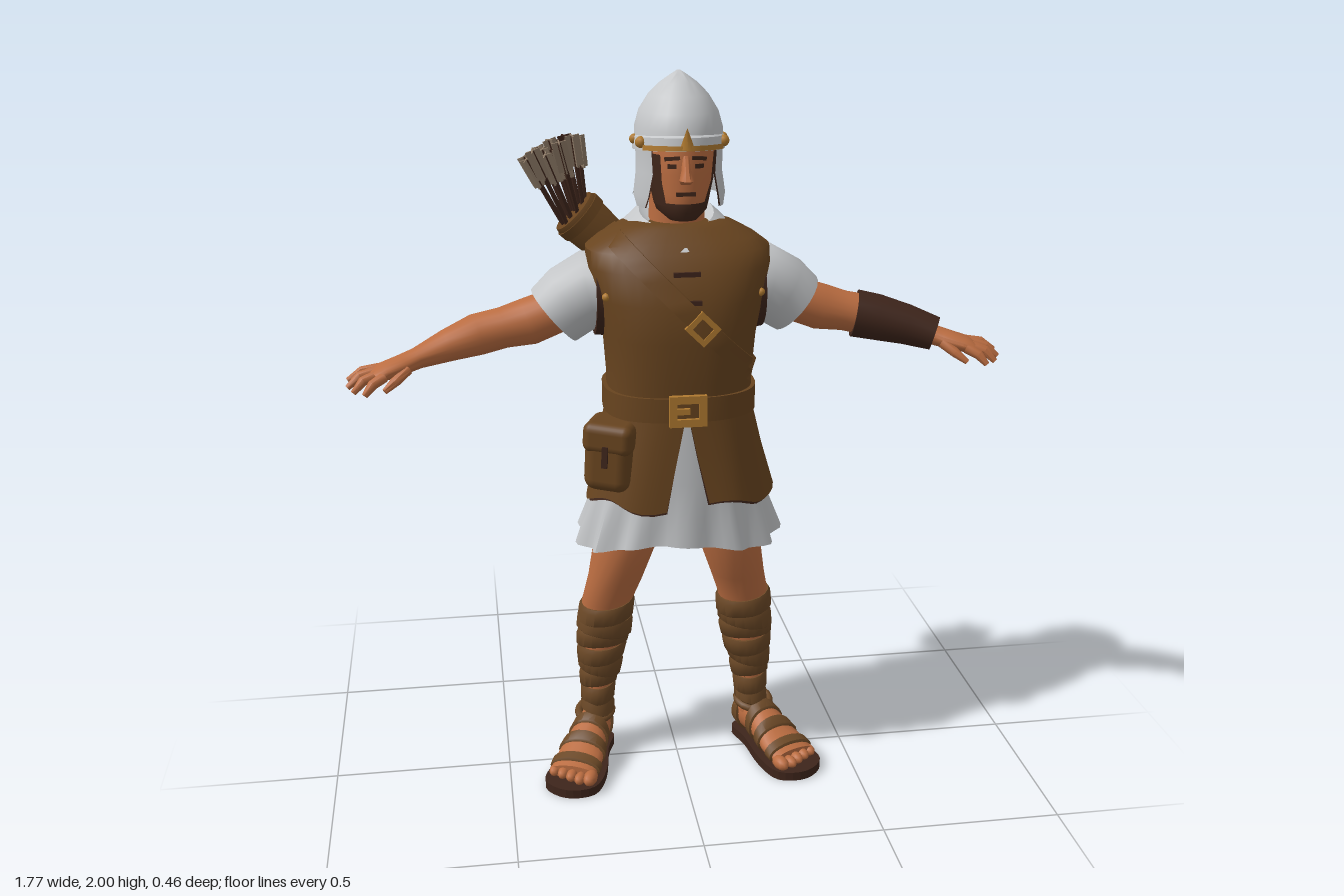
import * as THREE from 'three';
import { toCreasedNormals } from 'three/addons/utils/BufferGeometryUtils.js';
import { RoundedBoxGeometry } from 'three/addons/geometries/RoundedBoxGeometry.js';

const mat = (name, color) => Object.assign(new THREE.MeshStandardMaterial({ color, side: THREE.DoubleSide }), { name });
const skin = mat('skin', 0xbb6d41), leather = mat('leather', 0x68441f), wrap = mat('leg wraps', 0x6b4826);
const dark = mat('dark leather', 0x3e251b), cloth = mat('white cloth', 0xc3c5c7), steel = mat('steel', 0xc6c8ca);
const gold = mat('brass', 0xb07a30), feather = mat('feather', 0x8f7c68), hair = mat('hair', 0x40261a);
const Y = new THREE.Vector3(0, 1, 0), Z = new THREE.Vector3(0, 0, 1), PI = Math.PI;
const vec = a => new THREE.Vector3(...a);

function add(parent, geo, material, name, pos = [0, 0, 0], rot = [0, 0, 0]) {
  const m = new THREE.Mesh(geo, material);
  m.name = name; m.position.set(...pos); m.rotation.set(...rot);
  parent.add(m);
  return m;
}

// Skin through elliptical cross-sections [x, y, z, radiusU, radiusV]
function loft(sec, { n = 20, ref = Z, dir, p = 1, wave, lift, arc, crease = 0.8 } = {}) {
  const pos = [], idx = [], cols = arc ? n + 1 : n, c = sec.map(s => new THREE.Vector3(s[0], s[1], s[2]));
  const pw = v => Math.sign(v) * Math.abs(v) ** p;
  sec.forEach((s, i) => {
    const T = dir ? dir.clone() : c[Math.min(i + 1, c.length - 1)].clone().sub(c[Math.max(i - 1, 0)]).normalize();
    const V = ref.clone().addScaledVector(T, -T.dot(ref)).normalize(), U = T.clone().cross(V);
    const [a0, a1] = arc ? arc(i) : [0, 2 * PI];
    for (let j = 0; j < cols; j++) {
      const a = a0 + (a1 - a0) * j / n, w = wave ? wave(a, i) : 1;
      const q = c[i].clone().addScaledVector(U, s[3] * w * pw(Math.cos(a))).addScaledVector(V, s[4] * w * pw(Math.sin(a)));
      pos.push(q.x, q.y + (lift ? lift(a, i) : 0), q.z);
    }
  });
  for (let i = 0; i < sec.length - 1; i++) for (let j = 0; j < n; j++) {
    const k = (j + 1) % cols, a = i * cols + j, b = i * cols + k;
    idx.push(a, a + cols, b, b, a + cols, b + cols);
  }
  // End caps on closed lofts
  if (!arc) for (const [i, flip] of [[0, 0], [sec.length - 1, 1]]) {
    const o = pos.length / 3;
    pos.push(c[i].x, c[i].y, c[i].z);
    for (let j = 0; j < n; j++) {
      const a = i * n + j, b = i * n + (j + 1) % n;
      idx.push(o, flip ? b : a, flip ? a : b);
    }
  }
  const g = new THREE.BufferGeometry();
  g.setAttribute('position', new THREE.Float32BufferAttribute(pos, 3));
  g.setIndex(idx);
  return toCreasedNormals(g, crease);
}
// Upright loft from rows [y, centreX, centreZ, radiusX, radiusZ]
const upright = (rows, o = {}) => loft(rows.map(([y, x, z, rx, rz]) => [x, y, z, rx, rz]), { dir: Y, ...o });
const rowAt = (rows, y) => {
  let i = 0;
  while (i < rows.length - 2 && y > rows[i + 1][0]) i++;
  const t = THREE.MathUtils.clamp((y - rows[i][0]) / (rows[i + 1][0] - rows[i][0]), 0, 1);
  return rows[i].map((v, k) => v + (rows[i + 1][k] - v) * t);
};
const ball = (r, n = 10) => new THREE.SphereGeometry(r, n, n);

function frame(w, h, t, depth) {
  const rect = (S, a, b) => new S([[-a, -b], [a, -b], [a, b], [-a, b]].map(q => new THREE.Vector2(...q)));
  const s = rect(THREE.Shape, w / 2, h / 2);
  s.holes.push(rect(THREE.Path, w / 2 - t, h / 2 - t));
  return new THREE.ExtrudeGeometry(s, { depth, bevelEnabled: false });
}

const chest = [[1.1, 0, 0.025, 0.198, 0.165], [1.2, 0, 0.027, 0.196, 0.168], [1.32, 0, 0.032, 0.205, 0.178], [1.42, 0, 0.03, 0.225, 0.175],
  [1.5, 0, 0.015, 0.246, 0.163], [1.545, 0, 0.003, 0.246, 0.147], [1.57, 0, -0.005, 0.212, 0.132], [1.6, 0, -0.012, 0.155, 0.11], [1.612, 0, -0.012, 0.115, 0.092]];
const P = 0.78;
// Distance of the chest surface in z at (x, y)
const surface = (x, y, s) => {
  const [, , cz, rx, rz] = rowAt(chest, y);
  return cz + s * rz * Math.max(0, 1 - Math.min(1, Math.abs(x / rx)) ** (2 / P)) ** (P / 2);
};

function buildTorso(g) {
  add(g, upright(chest, { n: 40, p: P }), leather, 'jerkin');
  // Lower jerkin, split at the front, with a dark lining
  const gap = [0.15, 0.07, 0.005];
  for (const [d, m, name] of [[0, leather, 'jerkinSkirt'], [-0.008, dark, 'jerkinLining']])
    add(g, upright([[0.865, 0, 0.022, 0.258 + d, 0.19 + d], [1.0, 0, 0.022, 0.225 + d, 0.178 + d], [1.12, 0, 0.025, 0.198 + d, 0.166 + d]], {
      n: 48, p: P, arc: i => [PI / 2 + gap[i], PI * 2.5 - gap[i]],
      wave: (a, i) => 1 + [0.025, 0.012, 0][i] * Math.sin(7 * a), lift: (a, i) => i ? 0 : 0.015 * Math.cos(5 * a) + d }), m, name);
  add(g, upright([[0.728, 0, 0.02, 0.28, 0.172], [0.82, 0, 0.02, 0.25, 0.165], [0.92, 0, 0.022, 0.222, 0.163], [1.1, 0, 0.025, 0.185, 0.152]], {
    n: 72, p: 0.9, arc: () => [0, 2 * PI], wave: (a, i) => 1 + [0.055, 0.04, 0.01, 0][i] * Math.sin(13 * a),
    lift: (a, i) => i ? 0 : 0.018 * Math.cos(3 * a + 1) }), cloth, 'tunicSkirt');
  add(g, upright([[0.79, 0, 0, 0.17, 0.1], [0.95, 0, 0.01, 0.19, 0.13]]), dark, 'breeches');
  // Collar, dipping at the front
  add(g, upright([[1.575, 0, 0.0, 0.155, 0.142], [1.605, 0, -0.008, 0.125, 0.118], [1.625, 0, -0.01, 0.1, 0.1], [1.612, 0, -0.01, 0.078, 0.083]], {
    n: 32, wave: (a, i) => 1 + (i ? 0 : 0.04 * Math.sin(9 * a)), lift: a => 0.008 - 0.032 * Math.sin(a) }), cloth, 'collar');
  // Belt and buckle
  add(g, upright([[1.105, 0, 0.025, 0.19, 0.16], [1.105, 0, 0.025, 0.208, 0.175], [1.172, 0, 0.025, 0.208, 0.175], [1.172, 0, 0.025, 0.19, 0.16]],
    { n: 40, p: P }), leather, 'belt');
  add(g, frame(0.1, 0.085, 0.021, 0.015), gold, 'beltBuckle', [0, 1.138, 0.195]);
  add(g, new THREE.BoxGeometry(0.04, 0.016, 0.01), gold, 'buckleTongue', [-0.015, 1.138, 0.205]);
  // Diagonal strap, bent to the chest front and back
  for (const s of [1, -1]) {
    const strap = new THREE.BoxGeometry(0.52, 0.05, 0.022, 28, 2, 1);
    strap.rotateZ(-0.78).translate(0.01, 1.395, 0);
    const q = strap.attributes.position;
    for (let i = 0; i < q.count; i++) q.setZ(i, q.getZ(i) + surface(q.getX(i), q.getY(i), s) + s * 0.006);
    add(g, toCreasedNormals(strap, 0.6), leather, s > 0 ? 'strapFront' : 'strapBack');
  }
  add(g, frame(0.07, 0.065, 0.014, 0.012), gold, 'strapBuckle', [0.035, 1.365, 0.216], [0, 0.03, -0.78]);
  for (const y of [1.5, 1.43]) add(g, new THREE.BoxGeometry(0.07, 0.012, 0.009), dark, 'toggle', [0, y, surface(0, y, 1) + 0.003]);
  for (const s of [-1, 1]) add(g, ball(0.011), gold, 'shoulderStud', [s * 0.205, 1.435, surface(0.205, 1.435, 1)]);
  // Pouch
  const pouch = new THREE.Group();
  pouch.name = 'pouch'; pouch.position.set(-0.197, 1.005, 0.13); pouch.rotation.set(0, -0.4, -0.06);
  add(pouch, new RoundedBoxGeometry(0.13, 0.17, 0.12, 3, 0.035), leather, 'pouchBag', [0, -0.012, 0]);
  add(pouch, new RoundedBoxGeometry(0.138, 0.085, 0.13, 3, 0.025), leather, 'pouchFlap', [0, 0.055, 0]);
  add(pouch, new THREE.BoxGeometry(0.016, 0.06, 0.009), dark, 'pouchTie', [0, 0.01, 0.064]);
  g.add(pouch);
}

function buildHead(g) {
  add(g, upright([[1.5, 0, -0.01, 0.085, 0.085], [1.6, 0, -0.01, 0.076, 0.08], [1.72, 0, 0.01, 0.072, 0.08]]), skin, 'neck');
  const skull = [[1.632, 0, 0.105, 0.034, 0.04], [1.655, 0, 0.075, 0.06, 0.082], [1.7, 0, 0.05, 0.078, 0.108],
    [1.75, 0, 0.04, 0.087, 0.12], [1.8, 0, 0.035, 0.09, 0.125], [1.87, 0, 0.03, 0.085, 0.115]];
  add(g, upright(skull, { n: 24 }), skin, 'head');
  const grow = (y, d) => { const r = rowAt(skull, y); return [y, r[1], r[2], r[3] + d, r[4] + d]; };
  // Beard, sideburns, brows, eyes and mouth
  add(g, upright([grow(1.632, 0.003), grow(1.655, 0.006), grow(1.678, 0.004)], { n: 18, arc: () => [0.05, PI - 0.05] }), hair, 'beard');
  for (const s of [-1, 1]) {
    const mid = s > 0 ? 0.42 : PI - 0.42;
    add(g, upright([grow(1.67, 0.005), grow(1.73, 0.004), grow(1.8, 0.003)], { n: 6, arc: i => [mid - 0.42, mid + [0.4, 0.18, 0.1][i]] }), hair, 'sideburn');
    add(g, new THREE.BoxGeometry(0.04, 0.009, 0.009), hair, 'brow', [s * 0.034, 1.793, 0.151], [0, s * 0.3, -s * 0.1]);
    add(g, new THREE.BoxGeometry(0.024, 0.011, 0.008), hair, 'eye', [s * 0.034, 1.773, 0.149], [0, s * 0.3, 0]);
    add(g, ball(0.02), skin, 'ear', [s * 0.09, 1.755, 0.02]).scale.set(0.5, 1.4, 0.8);
  }
  add(g, new THREE.BoxGeometry(0.05, 0.01, 0.009), hair, 'moustache', [0, 1.703, 0.157]);
  add(g, upright([[1.728, 0, 0.155, 0.014, 0.012], [1.74, 0, 0.17, 0.019, 0.028], [1.765, 0, 0.16, 0.012, 0.022], [1.8, 0, 0.148, 0.01, 0.014]], { n: 10 }), skin, 'nose');
  // Helmet dome, brow band, neck guard and cheek guards
  const tip = a => 0.012 * Math.sin(a);
  add(g, upright([[1.815, 0, 0.025, 0.116, 0.146], [1.86, 0, 0.025, 0.114, 0.143], [1.9, 0, 0.025, 0.103, 0.127], [1.94, 0, 0.026, 0.078, 0.094],
    [1.97, 0, 0.028, 0.048, 0.055], [1.99, 0, 0.03, 0.02, 0.022], [2.0, 0, 0.03, 0.004, 0.004]], { n: 28 }), steel, 'helmetDome');
  add(g, upright([[1.802, 0, 0.025, 0.112, 0.143], [1.802, 0, 0.025, 0.12, 0.155], [1.835, 0, 0.025, 0.118, 0.152], [1.842, 0, 0.025, 0.11, 0.14]],
    { n: 28, lift: tip }), steel, 'helmetBand');
  add(g, upright([[1.803, 0, 0.025, 0.1225, 0.1575], [1.816, 0, 0.025, 0.1215, 0.1565]], { n: 20, arc: () => [0.55, PI - 0.55], lift: tip }), gold, 'browTrim');
  add(g, new THREE.ConeGeometry(0.02, 0.055, 4), gold, 'browOrnament', [0, 1.845, 0.178]).scale.z = 0.5;
  add(g, upright([[1.675, 0, 0.015, 0.12, 0.142], [1.72, 0, 0.02, 0.108, 0.13], [1.81, 0, 0.025, 0.112, 0.143]],
    { n: 20, arc: i => [PI + [0.15, 0.05, 0][i], 2 * PI - [0.15, 0.05, 0][i]] }), steel, 'neckGuard');
  for (const s of [-1, 1]) {
    const mid = s > 0 ? 0.42 : PI - 0.42, w = [0.16, 0.3, 0.36, 0.33];
    for (const [d, m, name] of [[0, steel, 'cheekGuard'], [-0.005, dark, 'cheekLining']])
      add(g, upright([[1.66, 0, 0.025, 0.118 + d, 0.14 + d], [1.69, 0, 0.025, 0.122 + d, 0.145 + d], [1.75, 0, 0.025, 0.113 + d, 0.142 + d],
        [1.815, 0, 0.025, 0.115 + d, 0.147 + d]], { n: 8, arc: i => [mid - w[i], mid + w[i]] }), m, name);
    add(g, ball(0.015), gold, 'helmetHinge', [s * 0.107, 1.828, 0.095]);
    add(g, ball(0.013), gold, 'helmetRivet', [s * 0.116, 1.828, 0.03]);
  }
}

function buildArm(g, s) {
  const arm = new THREE.Group(), up = s > 0 ? 0.012 : 0, side = rows => rows.map(([x, y, z, u, v]) => [s * x, y + up * Math.min(1, x / 0.4), z, u, v]);
  arm.name = s > 0 ? 'leftArm' : 'rightArm';
  add(arm, loft(side([[0.17, 1.425, -0.01, 0.1, 0.105], [0.235, 1.425, -0.015, 0.105, 0.11], [0.285, 1.395, -0.02, 0.1, 0.1],
    [0.332, 1.355, -0.022, 0.092, 0.093]])), cloth, 'sleeve');
  add(arm, loft(side([[0.2, 1.425, -0.012, 0.125, 0.124], [0.226, 1.425, -0.012, 0.122, 0.122]]), { n: 28 }), dark, 'armholeTrim');
  add(arm, loft(side([[0.28, 1.385, -0.02, 0.06, 0.06], [0.4, 1.34, -0.02, 0.064, 0.064], [0.47, 1.325, -0.02, 0.055, 0.058],
    [0.54, 1.312, -0.008, 0.056, 0.06], [0.62, 1.29, 0.012, 0.043, 0.05], [0.7, 1.266, 0.038, 0.028, 0.036], [0.74, 1.255, 0.055, 0.026, 0.042],
    [0.79, 1.244, 0.078, 0.023, 0.048], [0.815, 1.235, 0.088, 0.014, 0.04]])), skin, 'arm');
  if (s > 0) add(arm, loft(side([[0.5, 1.318, -0.014, 0.066, 0.068], [0.56, 1.307, -0.003, 0.064, 0.067], [0.64, 1.288, 0.016, 0.056, 0.06],
    [0.715, 1.266, 0.043, 0.047, 0.052]])), dark, 'bracer');
  // Fingers and thumb: base, knuckle, tip
  [[[0.8, 1.245, 0.045], [0.845, 1.24, 0.05], [0.882, 1.218, 0.056]], [[0.805, 1.245, 0.068], [0.85, 1.235, 0.08], [0.882, 1.208, 0.09]],
    [[0.8, 1.242, 0.092], [0.84, 1.23, 0.108], [0.866, 1.202, 0.12]], [[0.785, 1.24, 0.112], [0.815, 1.225, 0.13], [0.836, 1.2, 0.142]],
    [[0.725, 1.25, 0.085], [0.755, 1.228, 0.112], [0.785, 1.205, 0.128]]].forEach((f, i) =>
    add(arm, loft(side(f.map((q, k) => [...q, [0.015, 0.014, 0.008][k], [0.015, 0.014, 0.008][k]])), { n: 8, ref: Y }), skin, i < 4 ? 'finger' : 'thumb'));
  g.add(arm);
}

function buildLeg(g, s) {
  const leg = new THREE.Group();
  leg.name = s > 0 ? 'leftLeg' : 'rightLeg';
  const rows = [[0.1, 0.233, -0.045, 0.04, 0.046], [0.2, 0.23, -0.048, 0.04, 0.043], [0.3, 0.222, -0.05, 0.057, 0.056], [0.4, 0.21, -0.04, 0.071, 0.064],
    [0.5, 0.2, -0.032, 0.073, 0.066], [0.58, 0.178, -0.01, 0.078, 0.084], [0.7, 0.148, 0.003, 0.09, 0.106], [0.92, 0.115, 0.01, 0.1, 0.115]]
    .map(([y, x, ...r]) => [y, s * x, ...r]);
  add(leg, upright(rows), skin, 'leg');
  // Overlapping tilted leg wraps
  for (let k = 0; k < 8; k++) {
    const y = 0.13 + k * 0.045, t = (k % 2 ? 1 : -1) * 0.012;
    const ring = (h, d) => { const r = rowAt(rows, y + h); return [y + h, r[1], r[2], r[3] + d, r[4] + d]; };
    add(leg, upright([ring(0, 0.004), ring(0.006, 0.01), ring(0.043, 0.009), ring(0.056, 0.003)], { n: 18, lift: a => t * Math.cos(a + k) }), wrap, 'legWrap');
  }
  // Sandalled foot, turned outward
  const foot = new THREE.Group();
  foot.name = 'foot'; foot.position.set(s * 0.24, 0, -0.045); foot.rotation.y = s * 0.4;
  const flat = r => loft(r.map(([z, y, w, h]) => [0, y, z, w, h]), { ref: Y, dir: Z });
  const shape = [[-0.062, 0.07, 0.03, 0.035], [-0.04, 0.08, 0.043, 0.055], [0.02, 0.088, 0.047, 0.062], [0.08, 0.074, 0.056, 0.05],
    [0.15, 0.055, 0.068, 0.033], [0.22, 0.045, 0.068, 0.022]];
  add(foot, flat(shape), skin, 'footBody');
  const at = (z, d) => { const r = rowAt(shape, z); return [z, r[1], r[2] + d, r[3] + d]; };
  for (const [z, w] of [[-0.06, 0.045], [0.04, 0.03], [0.1, 0.03], [0.17, 0.028]])
    add(foot, flat([at(z, 0.001), at(z + 0.003, 0.007), at(z + w, 0.007), at(z + w + 0.003, 0.001)]), wrap, 'sandalStrap');
  add(foot, new THREE.TorusGeometry(0.049, 0.012, 8, 18), wrap, 'ankleStrap', [0, 0.13, 0], [PI / 2 + 0.2, 0, 0]);
  for (let i = 0; i < 5; i++)
    add(foot, ball(i ? 0.016 : 0.02), skin, 'toe', [s * (i - 2) * 0.028, 0.042, 0.237 - Math.abs(i - 1) * 0.009]).scale.z = 1.6;
  const outline = new THREE.Shape();
  outline.setFromPoints(new THREE.SplineCurve([[0, 0.07], [0.042, 0.05], [0.05, -0.03], [0.08, -0.15], [0.074, -0.245], [0, -0.282],
    [-0.074, -0.245], [-0.078, -0.15], [-0.05, -0.03], [-0.042, 0.05], [0, 0.07]].map(q => new THREE.Vector2(...q))).getPoints(40));
  add(foot, new THREE.ExtrudeGeometry(outline, { depth: 0.026, bevelEnabled: false }).rotateX(-PI / 2), dark, 'sole');
  leg.add(foot);
  g.add(leg);
}

function buildQuiver(g) {
  const q = new THREE.Group(), a = vec([0.045, 1.315, -0.182]), b = vec([-0.262, 1.61, -0.155]);
  q.name = 'quiver';
  const tube = (list, m, name) => add(q, loft(list.map(([t, r]) => [...a.clone().lerp(b, t).toArray(), r, r * 0.88])), m, name);
  tube([[0, 0.045], [0.02, 0.053], [0.5, 0.058], [0.97, 0.072], [1, 0.068]], leather, 'quiverTube');
  for (const t of [0.06, 0.5, 0.9]) tube([[t, 0.045], [t + 0.005, 0.06 + t * 0.016], [t + 0.07, 0.061 + t * 0.016], [t + 0.075, 0.045]], leather, 'quiverBand');
  // Arrows fanned by a golden-angle spiral
  for (let i = 0; i < 15; i++) {
    const r = Math.sqrt((i + 0.5) / 15), u = r * Math.cos(i * 2.4), v = r * Math.sin(i * 2.4);
    const p0 = vec([-0.26 + u * 0.035, 1.59 + u * 0.03, -0.155 + v * 0.04]), p1 = vec([-0.325 + u * 0.085, 1.775 + u * 0.025 + (i % 3) * 0.012, -0.14 + v * 0.075]);
    add(q, loft([p0, p1].map(e => [...e.toArray(), 0.006, 0.006]), { n: 6 }), dark, 'arrowShaft');
    const vane = new THREE.Group(), d = p1.clone().sub(p0).normalize();
    vane.name = 'fletching'; vane.position.copy(p1).addScaledVector(d, -0.04); vane.quaternion.setFromUnitVectors(Y, d);
    for (let k = 0; k < 2; k++) add(vane, new THREE.BoxGeometry(0.04, 0.085, 0.004), i % 5 ? feather : dark, 'vane', [0, 0, 0], [0, k * PI / 2 + i, 0]);
    q.add(vane);
  }
  g.add(q);
}

export function createModel() {
  const g = new THREE.Group();
  g.name = 'archer';
  buildTorso(g);
  buildHead(g);
  for (const s of [-1, 1]) { buildArm(g, s); buildLeg(g, s); }
  buildQuiver(g);
  return g;
}
